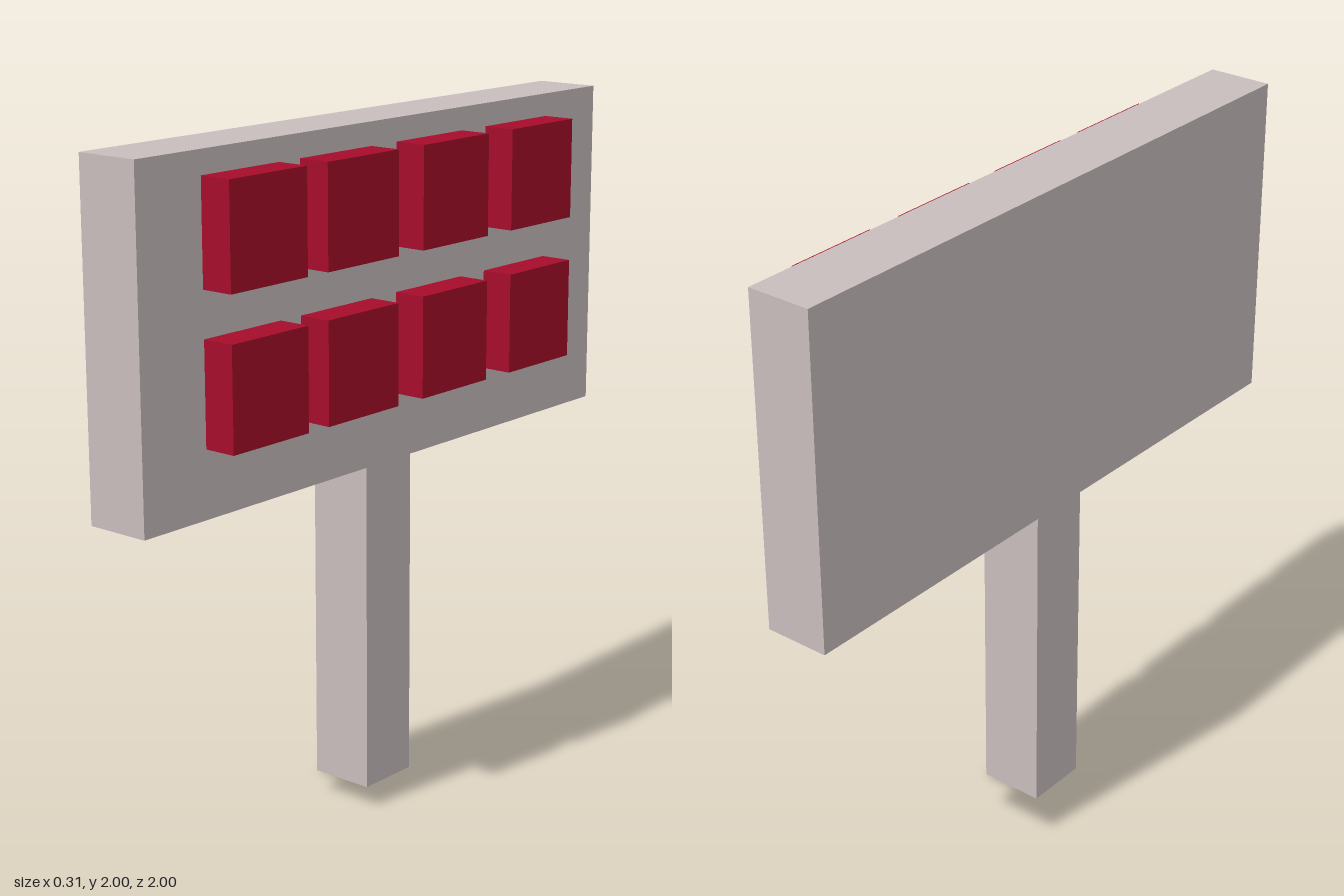
import * as THREE from 'three';

export function createModel() {
  const model = new THREE.Group();
  const boardGrey = new THREE.MeshStandardMaterial({ color: 0xc9bdbd });
  boardGrey.name = 'warm grey';
  const blockRed = new THREE.MeshStandardMaterial({ color: 0xa60d2a });
  blockRed.name = 'crimson';

  function addBox(name, material, size, position) {
    const mesh = new THREE.Mesh(new THREE.BoxGeometry(...size), material);
    mesh.name = name;
    mesh.position.set(...position);
    model.add(mesh);
  }

  // Sign board on its square post
  addBox('board', boardGrey, [0.2, 1, 2], [-0.054, 1.5, 0]);
  addBox('post', boardGrey, [0.2, 1, 0.2], [-0.054, 0.5, 0]);

  // Two rows of four blocks, floating just off the board's left face
  for (const [row, y] of [['lower', 1.35], ['upper', 1.783]]) {
    [0.62, 0.237, -0.173, -0.587].forEach((z, i) => {
      addBox(`${row}Block${i + 1}`, blockRed, [0.1, 0.3, 0.3], [0.104, y, z]);
    });
  }
  return model;
}
